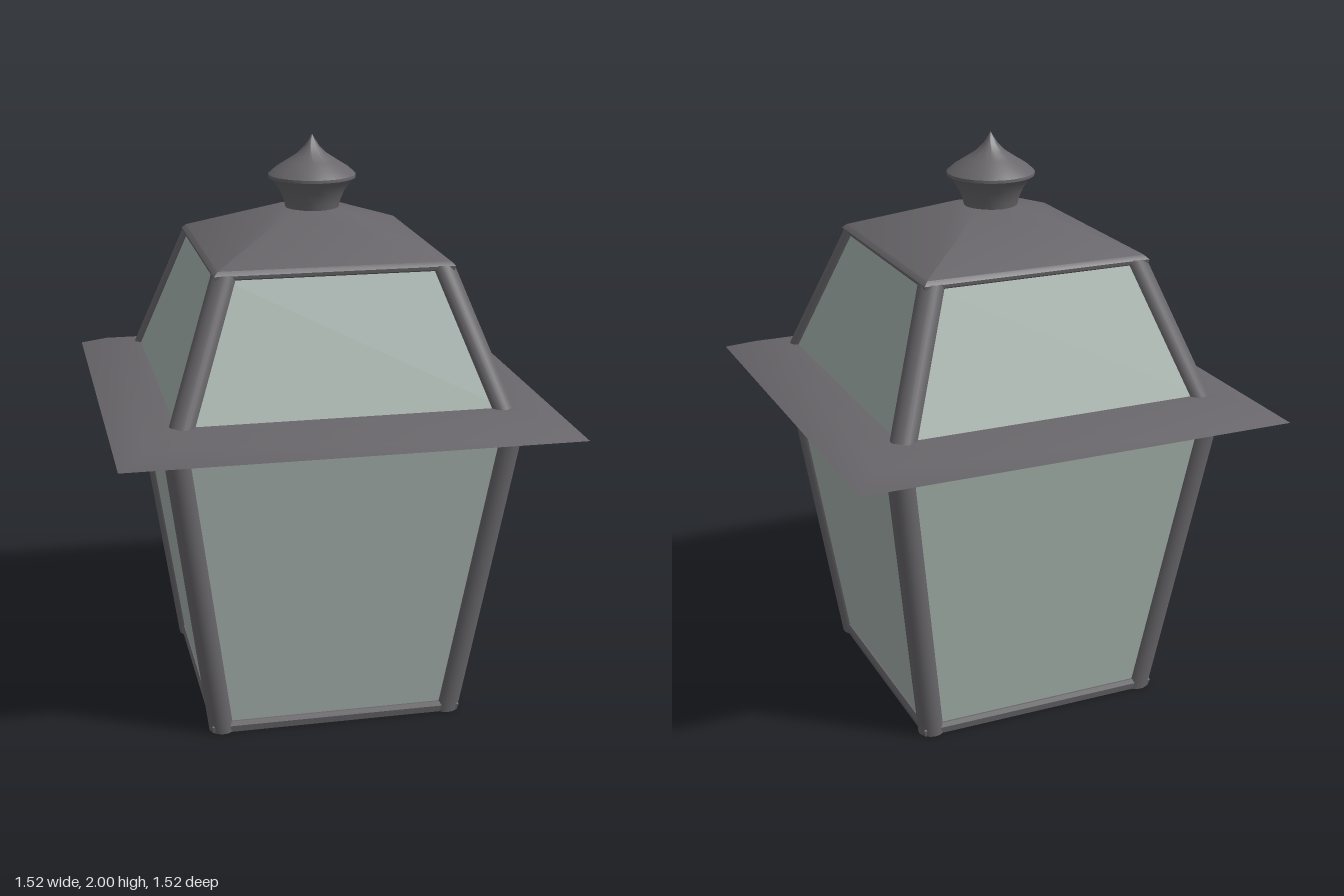
import * as THREE from 'three';
import { toCreasedNormals } from 'three/addons/utils/BufferGeometryUtils.js';
import { ParametricGeometry } from 'three/addons/geometries/ParametricGeometry.js';

const metal = new THREE.MeshStandardMaterial({ color: 0x68666a, side: THREE.DoubleSide });
const glass = new THREE.MeshStandardMaterial({ color: 0xa6b3ad, side: THREE.DoubleSide });
const white = new THREE.MeshStandardMaterial({ color: 0xcccccc });

const points = (list) => list.map(([r, y]) => new THREE.Vector2(r, y));

// Square ring or solid: each profile point is [half width, height], bottom to top
function squareLoft(profile) {
  const scaled = profile.map(([h, y]) => [h * Math.SQRT2, y]);
  const geometry = new THREE.LatheGeometry(points(scaled), 4, Math.PI / 4);
  return toCreasedNormals(geometry, 0.6);
}

// Rounded corner bar lying over the glass edge, from [offset, y] to [offset, y]
function cornerBar([c0, y0], [c1, y1]) {
  const r = 0.045;
  return new ParametricGeometry((u, v, target) => {
    const a = THREE.MathUtils.degToRad(147 - 204 * u);
    const c = THREE.MathUtils.lerp(c0, c1, v);
    target.set(c + r * Math.cos(a), THREE.MathUtils.lerp(y0, y1, v), c + r * Math.sin(a));
  }, 14, 1);
}

export function createModel() {
  const model = new THREE.Group();
  model.name = 'lantern';
  const add = (name, geometry, material) => {
    const mesh = new THREE.Mesh(geometry, material);
    mesh.name = name;
    model.add(mesh);
    return mesh;
  };

  // Glass panes
  add('lowerGlass', squareLoft([[0.425, 0.01], [0.578, 1.08]]), glass);
  add('upperGlass', squareLoft([[0.56, 1.15], [0.39, 1.61]]), glass);

  // Open frame around the bottom
  add('baseFrame', squareLoft([
    [0.37, 0.04], [0.37, 0], [0.437, 0], [0.443, 0.025], [0.436, 0.04], [0.37, 0.04],
  ]), metal);

  // Corner bars
  const lower = cornerBar([0.403, 0], [0.556, 1.085]);
  const upper = cornerBar([0.54, 1.13], [0.36, 1.615]);
  for (let i = 0; i < 4; i++) {
    add('lowerCornerBar', lower, metal).rotation.y = i * Math.PI / 2;
    add('upperCornerBar', upper, metal).rotation.y = i * Math.PI / 2;
  }

  // Wide eave between the two glass sections
  add('eave', squareLoft([
    [0.5, 1.165], [0.5, 1.05], [0.57, 1.055], [0.65, 1.078], [0.76, 1.1],
    [0.67, 1.138], [0.6, 1.155], [0.55, 1.165], [0.5, 1.165],
  ]), metal);

  // Roof with a softly rounded rim
  add('roof', squareLoft([
    [0.34, 1.59], [0.388, 1.592], [0.4, 1.602], [0.402, 1.613], [0.388, 1.627],
    [0.09, 1.752], [0, 1.755],
  ]), metal);

  // Turned finial
  const finial = new THREE.LatheGeometry(points([
    [0.09, 1.745], [0.097, 1.775], [0.112, 1.81], [0.132, 1.84], [0.15, 1.855],
    [0.15, 1.865], [0.125, 1.887], [0.085, 1.912], [0.05, 1.935], [0.025, 1.96],
    [0.012, 1.98], [0, 2],
  ]), 40);
  add('finial', toCreasedNormals(finial, 0.7), metal);

  // Hanging bulb with its socket and stem
  const bulbCurve = new THREE.SplineCurve(points([
    [0, 0.03], [0.03, 0.045], [0.065, 0.13], [0.1, 0.28], [0.112, 0.45],
    [0.095, 0.62], [0.06, 0.8],
  ]));
  add('bulb', new THREE.LatheGeometry(bulbCurve.getPoints(30), 32), white);
  add('bulbSocket', new THREE.CylinderGeometry(0.07, 0.07, 0.2, 24), metal).position.y = 0.88;
  add('bulbStem', new THREE.CylinderGeometry(0.025, 0.025, 0.78, 12), metal).position.y = 1.36;

  return model;
}
